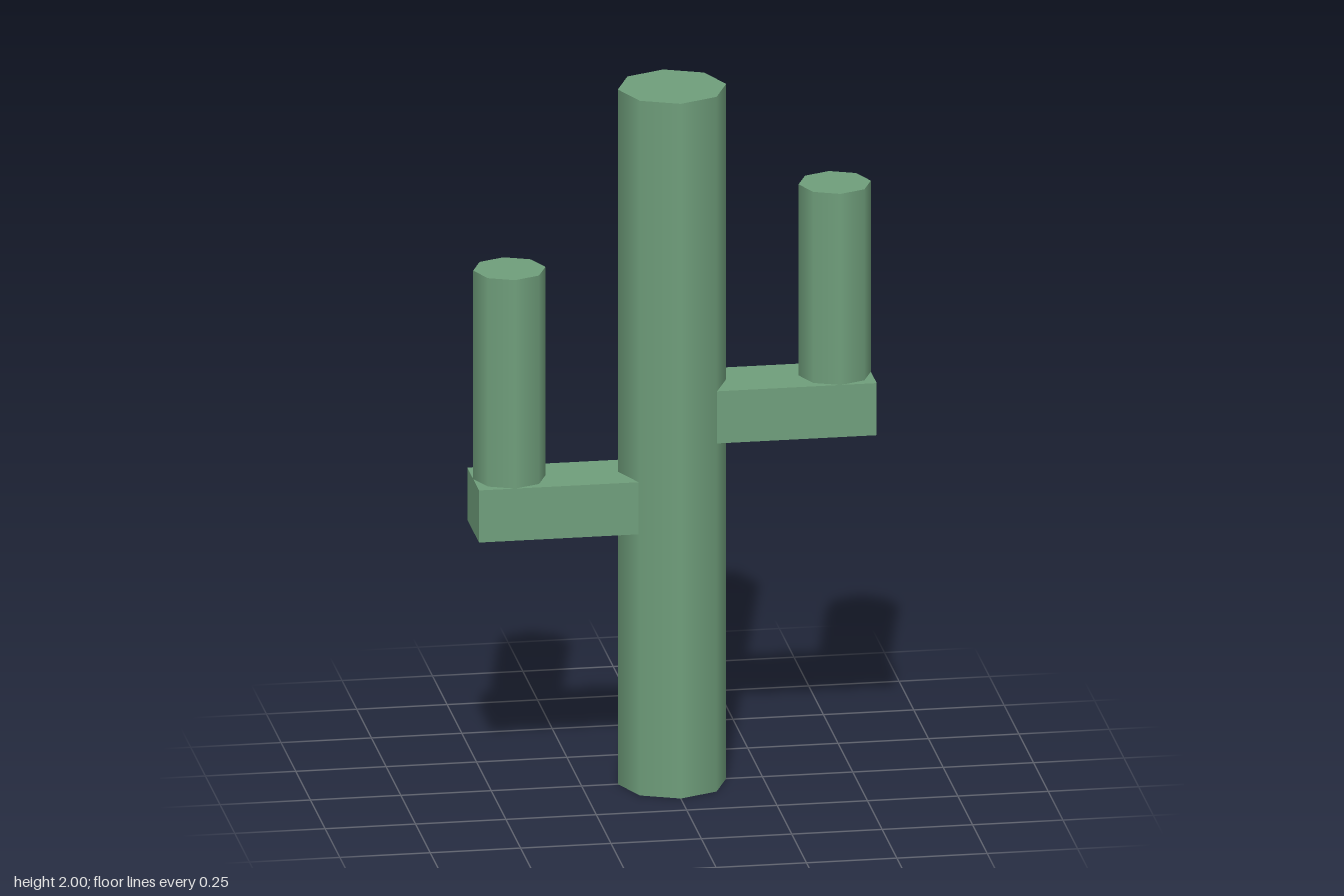
import * as THREE from 'three';

export function createModel() {
  const model = new THREE.Group();
  model.name = 'cactus';

  const green = new THREE.MeshStandardMaterial({ color: 0x6f9e7b });
  green.name = 'cactus green';

  const add = (parent, name, geometry, x, y) => {
    const mesh = new THREE.Mesh(geometry, green);
    mesh.name = name;
    mesh.position.set(x, y, 0);
    parent.add(mesh);
  };

  // Eight-sided column with smooth sides, standing between two heights
  const addColumn = (parent, name, radius, x, bottom, top) =>
    add(parent, name, new THREE.CylinderGeometry(radius, radius, top - bottom, 8), x, (bottom + top) / 2);

  // Arm: a horizontal block rooted in the trunk, with an upright stem at its end
  const addArm = (name, side, bottom, top) => {
    const arm = new THREE.Group();
    arm.name = name;
    add(arm, 'armBranch', new THREE.BoxGeometry(0.5, 0.15, 0.2), side * 0.3, bottom + 0.075);
    addColumn(arm, 'armStem', 0.1, side * 0.45, bottom + 0.1, top);
    model.add(arm);
  };

  addColumn(model, 'trunk', 0.15, 0, 0, 2);
  addArm('leftArm', 1, 1.0, 1.7);
  addArm('rightArm', -1, 0.75, 1.5);

  return model;
}
